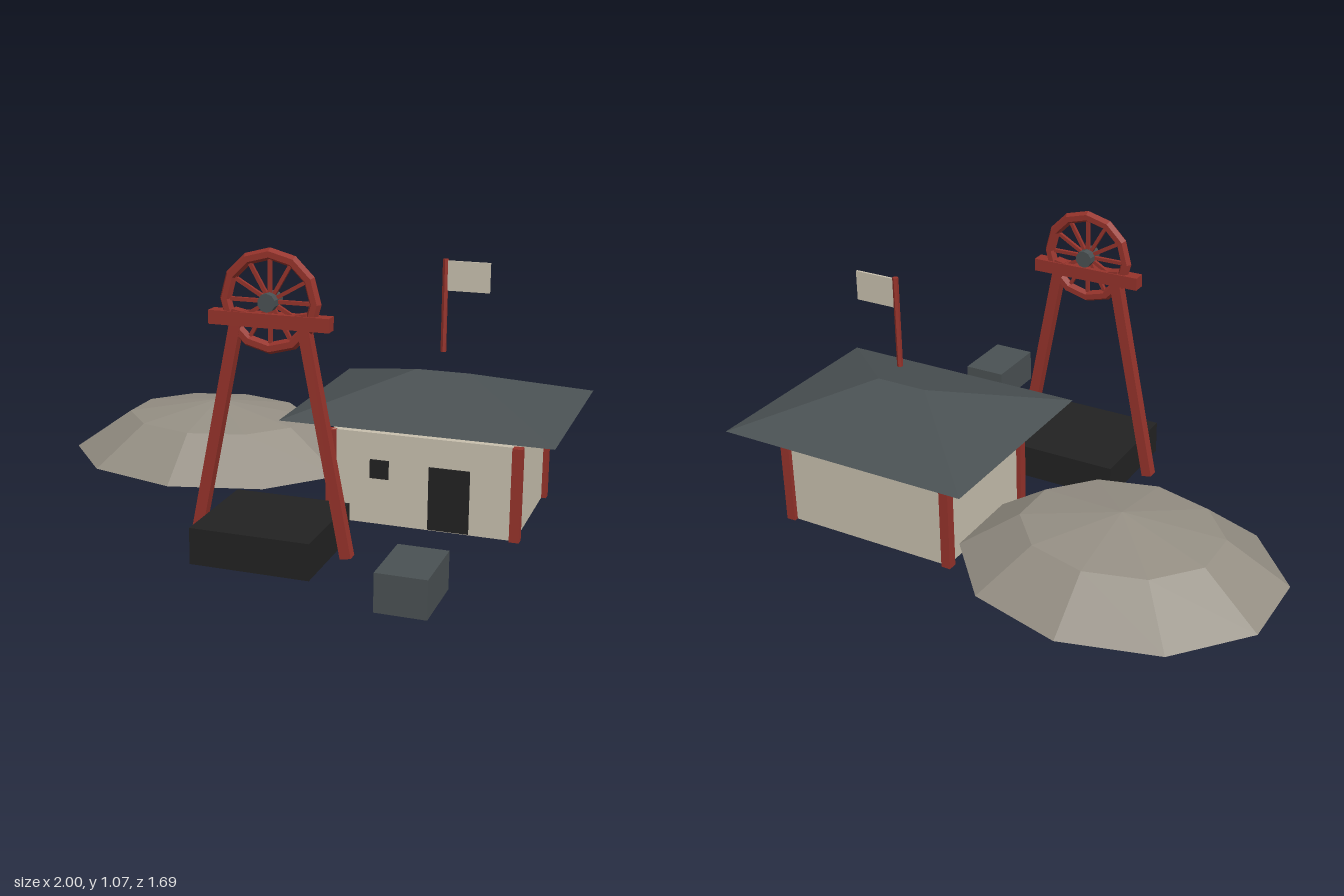
import * as THREE from 'three';

function paint(name, color, extra = {}) {
  const m = new THREE.MeshStandardMaterial({ color, flatShading: true, ...extra });
  m.name = name;
  return m;
}

export function createModel() {
  const red = paint('red timber', 0x96332b);
  const cream = paint('cream plaster', 0xc8c0ae);
  const slate = paint('slate grey', 0x4a5153);
  const black = paint('coal black', 0x222222);
  const spoil = paint('spoil grey', 0x958f84, { side: THREE.DoubleSide });

  const model = new THREE.Group();
  model.name = 'mineYard';

  const add = (parent, name, geometry, material, x, y, z) => {
    const mesh = new THREE.Mesh(geometry, material);
    mesh.name = name;
    mesh.position.set(x, y, z);
    parent.add(mesh);
    return mesh;
  };
  const box = (parent, name, material, w, h, d, x, y, z) =>
    add(parent, name, new THREE.BoxGeometry(w, h, d), material, x, y, z);
  const group = (name, x, y, z) => {
    const g = new THREE.Group();
    g.name = name;
    g.position.set(x, y, z);
    model.add(g);
    return g;
  };

  // Spoil heap: open, flattened cap of a coarse sphere
  const cap = new THREE.SphereGeometry(1, 10, 2, 0, Math.PI * 2, 0, Math.PI * 0.4);
  cap.rotateY(Math.PI / 2).scale(0.62, 0.31, 0.515);
  add(model, 'spoilHeap', cap, spoil, -0.44, 0, -0.36);

  // Engine house
  const house = group('engineHouse', 0.504, 0, -0.27);
  box(house, 'walls', cream, 0.685, 0.345, 0.515, 0, 0.1725, 0);
  for (const sx of [-1, 1]) {
    for (const sz of [-1, 1]) {
      box(house, 'cornerPost', red, 0.036, 0.345, 0.036, sx * 0.343, 0.1725, sz * 0.256);
    }
  }
  box(house, 'door', black, 0.15, 0.235, 0.009, 0.1, 0.122, 0.26);
  box(house, 'window', black, 0.07, 0.07, 0.009, -0.16, 0.21, 0.26);

  // Hipped roof: a box whose top is pinched to a short ridge
  const roof = new THREE.BoxGeometry(0.99, 0.13, 0.81);
  const p = roof.attributes.position;
  for (let i = 0; i < p.count; i++) {
    if (p.getY(i) > 0) {
      p.setX(i, Math.sign(p.getX(i)) * 0.1);
      p.setZ(i, 0);
    }
  }
  roof.computeVertexNormals();
  add(house, 'roof', roof, slate, 0, 0.465, 0);

  // Flag above the ridge
  add(house, 'flagPole', new THREE.CylinderGeometry(0.011, 0.011, 0.345, 6), red, 0, 0.777, 0);
  box(house, 'flag', cream, 0.16, 0.11, 0.009, 0.086, 0.889, 0);

  // Winding tower
  const tower = group('windingTower', 0.073, 0, 0.375);
  box(tower, 'shaftBlock', black, 0.43, 0.13, 0.425, 0, 0.065, -0.003);
  box(tower, 'crossBeam', red, 0.43, 0.048, 0.05, 0, 0.821, 0);
  const foot = 0.278, head = 0.112, low = 0.015, high = 0.85;
  for (const s of [-1, 1]) {
    const length = Math.hypot(foot - head, high - low);
    const leg = box(tower, 'leg', red, 0.04, length, 0.04, s * (foot + head) / 2, (low + high) / 2, 0);
    leg.rotation.z = s * Math.atan2(foot - head, high - low);
  }

  // Winding wheel
  const wheel = new THREE.Group();
  wheel.name = 'windingWheel';
  wheel.position.y = 0.885;
  tower.add(wheel);
  const rim = add(wheel, 'rim', new THREE.TorusGeometry(0.16, 0.021, 6, 12), red, 0, 0, 0);
  rim.rotation.z = Math.PI / 2;
  for (let i = 0; i < 6; i++) {
    const spoke = box(wheel, 'spokePair', red, 0.013, 0.31, 0.013, 0, 0, 0);
    spoke.rotation.z = i * Math.PI / 6;
  }
  const hub = add(wheel, 'hub', new THREE.CylinderGeometry(0.032, 0.032, 0.075, 10), slate, 0, 0, 0);
  hub.rotation.x = Math.PI / 2;

  // Ore tub
  box(model, 'oreTub', slate, 0.17, 0.13, 0.256, 0.675, 0.11, 0.717);

  return model;
}
